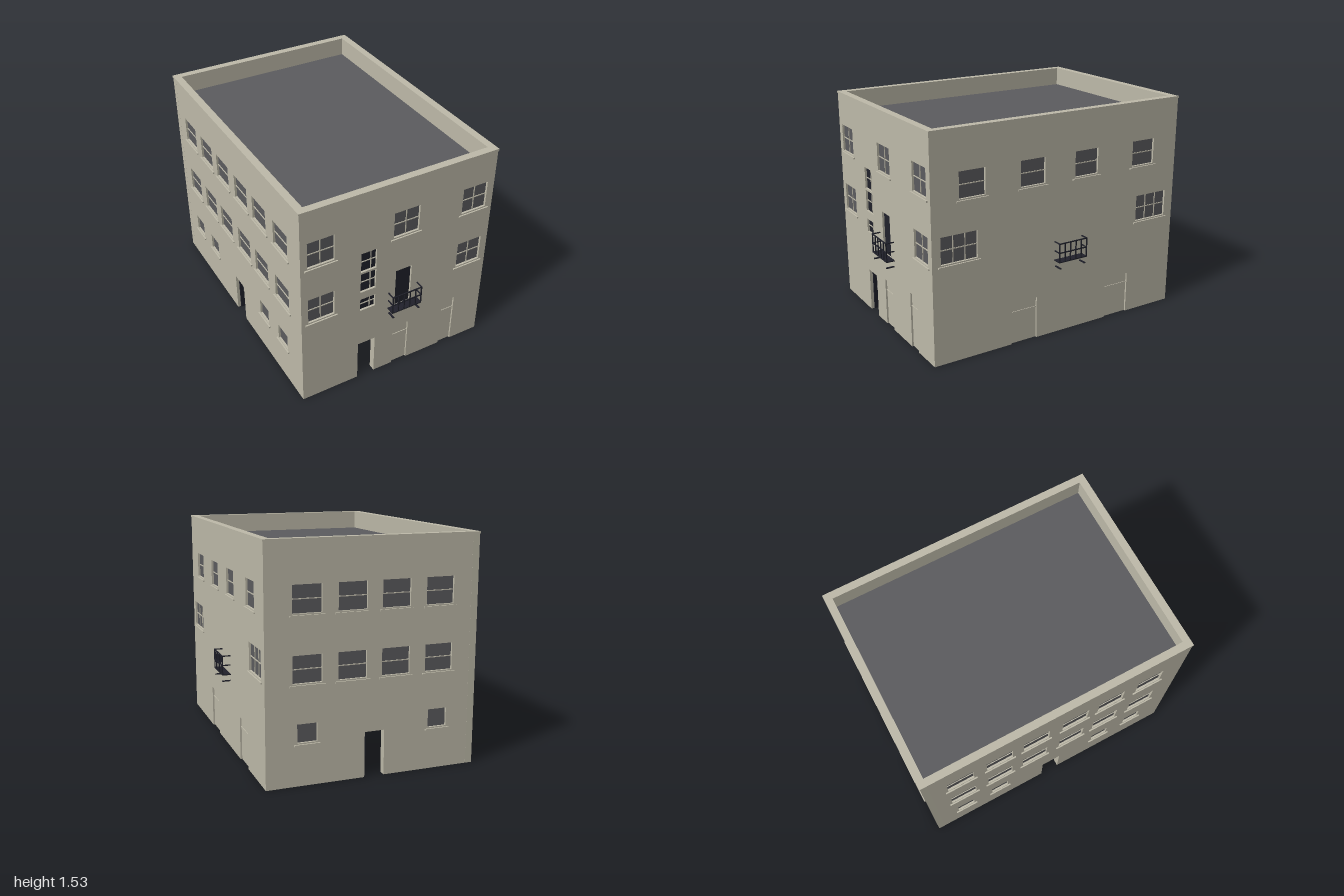
import * as THREE from 'three';

const stone = new THREE.MeshStandardMaterial({ color: 0xbfbbaa });
stone.name = 'stone';
const slate = new THREE.MeshStandardMaterial({ color: 0x5c5c5f });
slate.name = 'slate grey';
const iron = new THREE.MeshStandardMaterial({ color: 0x20212b });
iron.name = 'dark iron';

const H = 1.53, SKIN = 0.02, THICK = 0.048;

function box(parent, name, mat, x0, x1, y0, y1, z0, z1) {
  const m = new THREE.Mesh(new THREE.BoxGeometry(x1 - x0, y1 - y0, z1 - z0), mat);
  m.position.set((x0 + x1) / 2, (y0 + y1) / 2, (z0 + z1) / 2);
  m.name = name;
  parent.add(m);
  return m;
}

// Wall sheet with doorways notched into its foot and window holes
function sheet(parent, name, u0, u1, doors, windows, zBack, depth) {
  const s = new THREE.Shape();
  s.moveTo(u0, 0);
  [...doors].sort((a, b) => a.u0 - b.u0).forEach(d => {
    s.lineTo(d.u0, 0);
    s.lineTo(d.u0, d.top);
    s.lineTo(d.u1, d.top);
    s.lineTo(d.u1, 0);
  });
  s.lineTo(u1, 0);
  s.lineTo(u1, H);
  s.lineTo(u0, H);
  s.closePath();
  windows.forEach(w => {
    const p = new THREE.Path();
    p.moveTo(w.u0, w.y0);
    p.lineTo(w.u0, w.y1);
    p.lineTo(w.u1, w.y1);
    p.lineTo(w.u1, w.y0);
    p.closePath();
    s.holes.push(p);
  });
  const m = new THREE.Mesh(new THREE.ExtrudeGeometry(s, { depth, bevelEnabled: false }), stone);
  m.position.z = zBack;
  m.name = name;
  parent.add(m);
}

// Recessed pane, glazing bars and sill
function addWindow(wall, w) {
  const g = new THREE.Group();
  g.name = 'window';
  wall.add(g);
  box(g, 'pane', w.mat || slate, w.u0, w.u1, w.y0, w.y1, -SKIN - 0.002, -SKIN + 0.005);
  const bar = 0.003, z0 = -SKIN, z1 = -SKIN + 0.01;
  (w.cols || []).forEach(t => {
    const u = w.u0 + (w.u1 - w.u0) * t;
    box(g, 'glazingBar', stone, u - bar, u + bar, w.y0, w.y1, z0, z1);
  });
  (w.rows || []).forEach(t => {
    const y = w.y0 + (w.y1 - w.y0) * t;
    box(g, 'glazingBar', stone, w.u0, w.u1, y - bar, y + bar, z0, z1);
  });
  if (w.mat !== iron) box(g, 'sill', stone, w.u0 - 0.02, w.u1 + 0.02, w.y0 - 0.02, w.y0 - 0.009, -0.005, 0.01);
}

// Closed doors are shallow panels, open ones a leaf swung inward
function addDoor(wall, d) {
  const g = new THREE.Group();
  g.name = 'door';
  wall.add(g);
  if (d.hinge !== undefined) {
    box(g, 'openLeaf', iron, d.hinge - 0.005, d.hinge + 0.005, 0.005, d.top - 0.005, -0.14, -0.02);
    box(g, 'leafGlass', slate, d.hinge - 0.007, d.hinge + 0.007, d.top * 0.5, d.top - 0.04, -0.115, -0.045);
  } else {
    box(g, 'panel', stone, d.u0, d.u1, 0, d.top, -SKIN, -SKIN + 0.008);
    box(g, 'transom', stone, d.u0, d.u1, d.top * 0.75, d.top * 0.75 + 0.008, -SKIN, -SKIN + 0.013);
  }
}

function addBalcony(wall, u0, u1) {
  const g = new THREE.Group();
  g.name = 'balcony';
  wall.add(g);
  const y0 = 0.53, y1 = 0.668, D = 0.06, r = 0.0035;
  box(g, 'floor', iron, u0, u1, y0, y0 + 0.007, 0, D);
  [0.6, y1 - r].forEach(y => {
    box(g, 'frontRail', iron, u0, u1, y - r, y + r, D - 2 * r, D);
    [u0, u1 - 2 * r].forEach(u => box(g, 'sideRail', iron, u, u + 2 * r, y - r, y + r, 0, D));
  });
  for (let i = 0; i <= 5; i++) {
    const u = u0 + r + (u1 - u0 - 2 * r) * i / 5;
    box(g, 'baluster', iron, u - r, u + r, y0, y1, D - 2 * r, D);
  }
  [u0 + 0.014, u1 - 0.014].forEach(u =>
    box(g, 'bracket', iron, u - 0.006, u + 0.006, 0.484, 0.491, 0, D - 0.003));
}

function addWall(parent, name, u0, u1, windows, doors, x, z, angle) {
  const wall = new THREE.Group();
  wall.name = name;
  wall.position.set(x, 0, z);
  wall.rotation.y = angle;
  parent.add(wall);
  sheet(wall, 'outerFace', u0, u1, doors, windows, -SKIN, SKIN);
  sheet(wall, 'innerFace', u0, u1, doors.filter(d => d.hinge !== undefined), [], -THICK, THICK - SKIN);
  windows.forEach(w => addWindow(wall, w));
  doors.forEach(d => addDoor(wall, d));
  return wall;
}

// Row of equal windows given by their centres
const row = (centres, width, y0, y1, cols, rows) =>
  centres.map(c => ({ u0: c - width / 2, u1: c + width / 2, y0, y1, cols, rows }));

// Four-cornered slab outline on the ground plan, grown outward by g
const plan = (g, Kind) => new Kind([
  [-0.725 - g, 0.94 + g], [0.686 + g, 0.94 + g], [0.686 + g, -0.99 - g], [-0.74 - g, -0.99 - g],
].map(([x, z]) => new THREE.Vector2(x, -z)));

function slab(parent, name, mat, shape, y, height) {
  const geo = new THREE.ExtrudeGeometry(shape, { depth: height, bevelEnabled: false });
  geo.rotateX(-Math.PI / 2);
  const m = new THREE.Mesh(geo, mat);
  m.position.y = y;
  m.name = name;
  parent.add(m);
}

export function createModel() {
  const model = new THREE.Group();
  model.name = 'building';
  const half = [0.5];

  // Front wall
  const stair = [[0.925, 1.075], [0.76, 0.91], [0.605, 0.7]].map(([y0, y1]) =>
    ({ u0: -0.302, u1: -0.19, y0, y1, mat: iron, cols: [0.68], rows: half }));
  const balconyDoor = { u0: -0.037, u1: 0.083, y0: 0.53, y1: 0.83, mat: iron };
  const front = addWall(model, 'frontWall', -0.725, 0.686, [
    ...row([-0.585, 0.023, 0.54], 0.187, 1.11, 1.3, half, half),
    ...row([-0.585, 0.54], 0.187, 0.67, 0.86, half, half),
    ...stair, balconyDoor,
  ], [
    { u0: -0.31, u1: -0.18, top: 0.308, hinge: -0.3 },
    { u0: -0.036, u1: 0.083, top: 0.335 },
    { u0: 0.36, u1: 0.462, top: 0.388 },
  ], 0, 0.94, 0);
  addBalcony(front, -0.09, 0.137);

  // Side wall at +x
  const side = addWall(model, 'leftWall', -0.94, 0.99, [
    ...row([-0.652, -0.207, 0.216, 0.697], 0.185, 1.085, 1.26, [], half),
    ...row([-0.749, 0.789], 0.26, 0.68, 0.863, [0.35, 0.68], half),
  ], [
    { u0: -0.365, u1: -0.168, top: 0.296 },
    { u0: 0.408, u1: 0.605, top: 0.296 },
  ], 0.686, 0, Math.PI / 2);
  addBalcony(side, -0.032, 0.195);

  // Back wall
  const backRow = [-0.415, -0.12, 0.172, 0.472];
  addWall(model, 'backWall', -0.686, 0.74, [
    ...row(backRow, 0.19, 1.085, 1.26, [], half),
    ...row(backRow, 0.19, 0.655, 0.83, [], half),
    ...row([-0.417, 0.472], 0.13, 0.28, 0.4),
  ], [{ u0: -0.034, u1: 0.1, top: 0.3, hinge: -0.025 }], 0, -0.99, Math.PI);

  // Side wall at -x, slightly out of square
  const sideRow = [-0.735, -0.45, -0.178, 0.113, 0.385, 0.68];
  addWall(model, 'rightWall', -0.99, 0.94, [
    ...row(sideRow, 0.19, 1.085, 1.26, [], half),
    ...row(sideRow, 0.19, 0.655, 0.83, [], half),
    ...row([-0.738, -0.458, 0.386, 0.666], 0.13, 0.28, 0.4),
  ], [{ u0: -0.095, u1: 0.045, top: 0.305, hinge: -0.085 }], -0.7323, 0, -Math.PI / 2 + 0.0078);

  // Flat roof sunk behind the parapet, and the coping on top
  slab(model, 'roof', slate, plan(-THICK + 0.002, THREE.Shape), 1.38, 0.02);
  const coping = plan(0.004, THREE.Shape);
  coping.holes.push(plan(-THICK, THREE.Path));
  slab(model, 'coping', stone, coping, H - 0.01, 0.013);

  return model;
}
